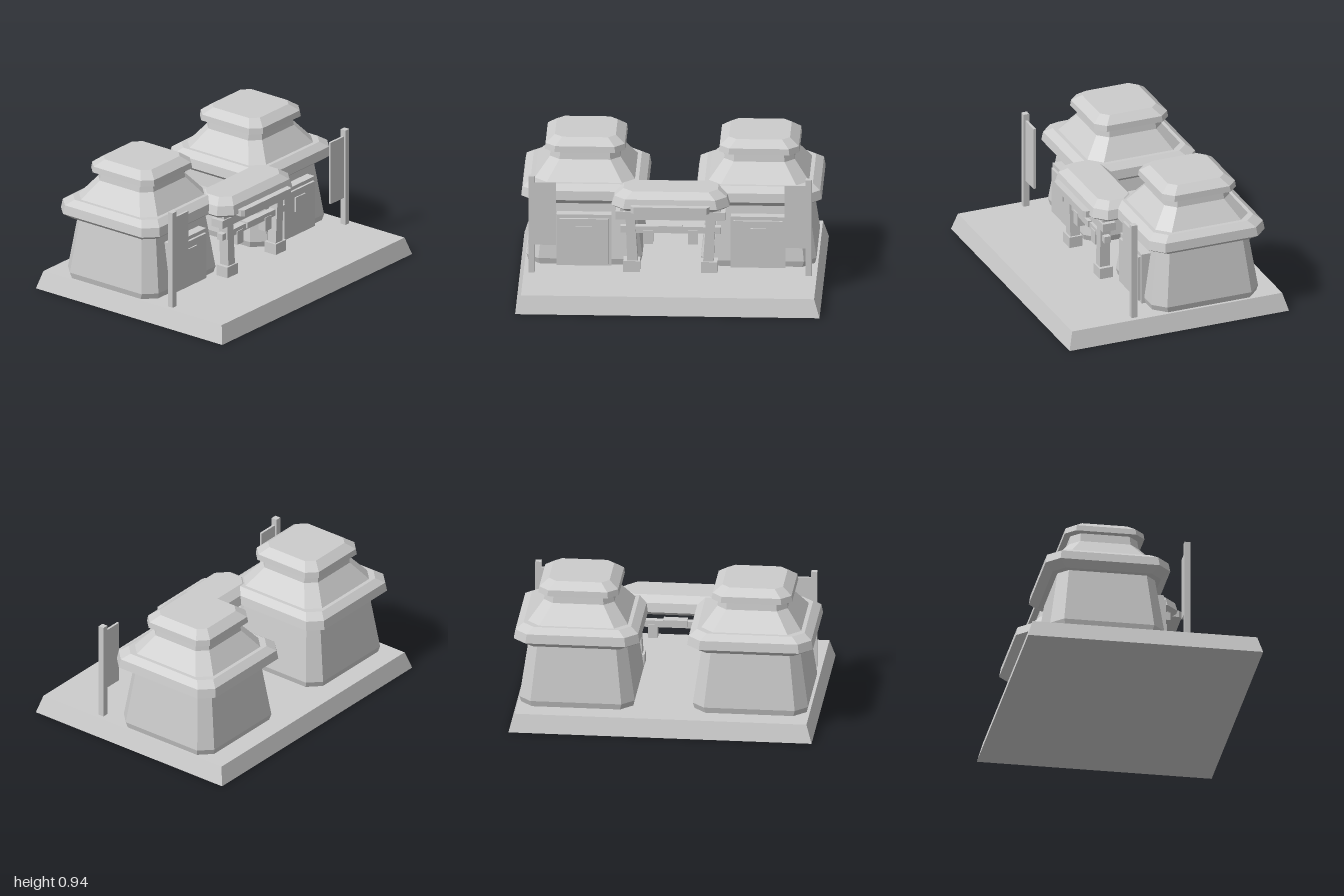
import * as THREE from 'three';

const stone = new THREE.MeshStandardMaterial({ color: 0xcccccc });
stone.name = 'lightGrey';

// Rectangle with cut corners, counter-clockwise seen from above
function ring(y, hx, hz, c) {
  return [
    [hx, hz - c], [hx, c - hz], [hx - c, -hz], [c - hx, -hz],
    [-hx, c - hz], [-hx, hz - c], [c - hx, hz], [hx - c, hz],
  ].map(([x, z]) => [x, y, z]);
}

// Faceted solid through levels of [y, halfX, halfZ, cornerCut]
function loft(name, levels) {
  const rings = levels.map((l) => ring(...l));
  const pos = [];
  const tri = (a, b, c) => pos.push(...a, ...b, ...c);
  for (let k = 0; k < rings.length - 1; k++) {
    const a = rings[k], b = rings[k + 1];
    for (let i = 0; i < 8; i++) {
      const j = (i + 1) % 8;
      tri(a[i], a[j], b[j]);
      tri(a[i], b[j], b[i]);
    }
  }
  const bottom = rings[0], top = rings[rings.length - 1];
  for (let i = 1; i < 7; i++) {
    tri(top[0], top[i], top[i + 1]);
    tri(bottom[0], bottom[i + 1], bottom[i]);
  }
  const geo = new THREE.BufferGeometry();
  geo.setAttribute('position', new THREE.Float32BufferAttribute(pos, 3));
  geo.computeVertexNormals();
  const mesh = new THREE.Mesh(geo, stone);
  mesh.name = name;
  return mesh;
}

// Box given by its limits on each axis
function box(name, x0, x1, y0, y1, z0, z1) {
  const mesh = new THREE.Mesh(new THREE.BoxGeometry(x1 - x0, y1 - y0, z1 - z0), stone);
  mesh.position.set((x0 + x1) / 2, (y0 + y1) / 2, (z0 + z1) / 2);
  mesh.name = name;
  return mesh;
}

// Tapered hut with a brimmed roof, a raised cap and a door
function hut(side) {
  const g = new THREE.Group();
  g.name = side > 0 ? 'leftHut' : 'rightHut';
  g.add(
    loft('hutWalls', [[0.12, 0.37, 0.37, 0.08], [0.16, 0.38, 0.38, 0.08], [0.56, 0.322, 0.322, 0.065]]),
    loft('roofBrim', [
      [0.54, 0.36, 0.36, 0.075], [0.58, 0.415, 0.415, 0.085],
      [0.64, 0.405, 0.405, 0.083], [0.675, 0.355, 0.355, 0.075],
    ]),
    loft('roofSlope', [[0.655, 0.345, 0.345, 0.085], [0.8, 0.232, 0.232, 0.065], [0.87, 0.222, 0.222, 0.06]]),
    loft('roofCap', [[0.86, 0.265, 0.265, 0.065], [0.9, 0.26, 0.26, 0.065], [0.945, 0.2, 0.2, 0.05]]),
  );
  const door = new THREE.Group();
  door.name = 'door';
  door.add(
    box('doorFrame', -0.18, 0.18, 0.12, 0.475, 0.3, 0.398),
    box('doorPanel', -0.16, 0.16, 0.135, 0.45, 0.38, 0.415),
    box('doorPlate', -0.053, 0.053, 0.3, 0.402, 0.4, 0.425),
  );
  g.add(door);
  g.position.set(side * 0.572, 0, -0.235);
  return g;
}

// Leaning gate post on a square foot
function gatePost(side) {
  const g = new THREE.Group();
  g.name = side > 0 ? 'leftGatePost' : 'rightGatePost';
  const geo = new THREE.BoxGeometry(0.07, 0.36, 0.07);
  const p = geo.attributes.position;
  for (let i = 0; i < p.count; i++) {
    if (p.getY(i) > 0) p.setX(i, p.getX(i) * 0.85 + side * 0.018);
  }
  geo.computeVertexNormals();
  const post = new THREE.Mesh(geo, stone);
  post.name = 'post';
  post.position.set(side * 0.248, 0.35, 0.228);
  const [a, b] = side > 0 ? [0.2, 0.31] : [-0.31, -0.2];
  const [c, d] = side > 0 ? [0.115, 0.18] : [-0.18, -0.115];
  g.add(
    post,
    box('postFoot', a, b, 0.12, 0.195, 0.182, 0.275),
    box('hangingLantern', c, d, 0.31, 0.405, 0.2, 0.255),
  );
  return g;
}

// Pole with a banner hanging towards the middle
function bannerPole(side) {
  const g = new THREE.Group();
  g.name = side > 0 ? 'leftBanner' : 'rightBanner';
  const [a, b] = side > 0 ? [0.75, 0.89] : [-0.89, -0.75];
  g.add(
    box('pole', side * 0.91 - 0.02, side * 0.91 + 0.02, 0.12, 0.79, 0.27, 0.31),
    box('banner', a, b, 0.31, 0.745, 0.282, 0.298),
  );
  return g;
}

export function createModel() {
  const model = new THREE.Group();
  model.name = 'gatehouse';

  // Sloped base
  model.add(loft('base', [[0, 1, 0.782, 0], [0.12, 0.963, 0.748, 0]]));

  for (const side of [-1, 1]) model.add(hut(side), gatePost(side), bannerPole(side));

  // Canopy and beams of the gate between the huts
  const canopy = loft('gateCanopy', [
    [0.55, 0.345, 0.135, 0.065], [0.58, 0.388, 0.175, 0.08],
    [0.64, 0.37, 0.16, 0.075], [0.68, 0.31, 0.11, 0.06],
  ]);
  canopy.position.z = 0.155;
  const ledge = loft('canopyFrontLedge', [[0.56, 0.258, 0.05, 0.018], [0.605, 0.258, 0.05, 0.018]]);
  ledge.position.z = 0.318;
  model.add(
    canopy,
    ledge,
    box('upperBeam', -0.36, 0.36, 0.485, 0.54, 0.182, 0.275),
    box('beamCushion', -0.33, 0.33, 0.53, 0.56, 0.19, 0.265),
    box('lowerBeam', -0.33, 0.33, 0.385, 0.43, 0.205, 0.25),
    box('beamPlaque', -0.08, 0.08, 0.395, 0.438, 0.2, 0.262),
  );
  return model;
}
